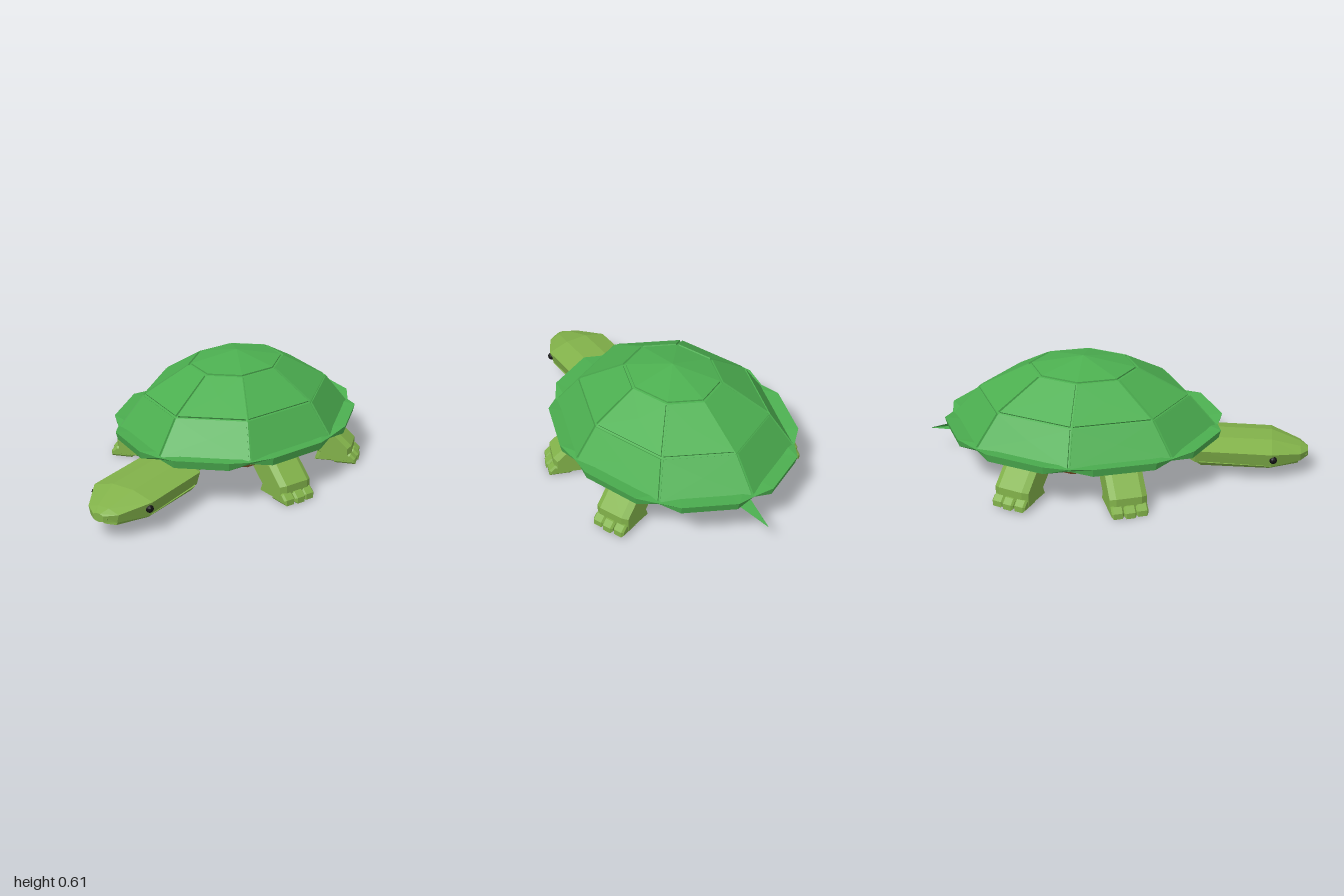
import * as THREE from 'three';

const CZ = -0.175, RX = 0.575, RZ = 0.7;
const V = (x, y, z) => new THREE.Vector3(x, y, z);
const mat = (color) => new THREE.MeshStandardMaterial({ color, flatShading: true });

// Skin over closed loops; loops run counter-clockwise seen from the direction of travel
function loft(rings, capStart = true, capEnd = true, out = []) {
  const n = rings[0].length;
  for (let r = 0; r < rings.length - 1; r++) {
    for (let i = 0; i < n; i++) {
      const j = (i + 1) % n, a = rings[r], b = rings[r + 1];
      out.push(a[i], a[j], b[j], a[i], b[j], b[i]);
    }
  }
  const cap = (ring, flip) => {
    const c = ring.reduce((s, p) => s.add(p), V(0, 0, 0)).divideScalar(n);
    ring.forEach((p, i) => {
      const q = ring[(i + 1) % n];
      out.push(...(flip ? [c, q, p] : [c, p, q]));
    });
  };
  if (capStart) cap(rings[0], true);
  if (capEnd) cap(rings[rings.length - 1], false);
  return out;
}

function solid(points) {
  const g = new THREE.BufferGeometry().setFromPoints(points);
  g.computeVertexNormals();
  return g;
}

// Point on the oval plan of the shell
const oval = (deg, r, y) => {
  const a = THREE.MathUtils.degToRad(deg);
  return V(Math.sin(a) * r * RX, y, CZ + Math.cos(a) * r * RZ);
};
const octagon = (r, y) => Array.from({ length: 8 }, (_, i) => oval(i * 45, r, y));

export function createModel() {
  const model = new THREE.Group();
  const shellMat = mat(0x4caf50), skinMat = mat(0x82b24a), bellyMat = mat(0x9a6530), eyeMat = mat(0x111111);
  const add = (name, geometry, material, parent = model) => {
    const m = new THREE.Mesh(geometry, material);
    m.name = name;
    parent.add(m);
    return m;
  };

  // Shell core: the floor of the grooves
  const sink = 0.008;
  const core = [[1, 0.24], [0.79, 0.41], [0.405, 0.55], [0.001, 0.605]];
  add('shellCore', solid(loft(core.map(([r, y]) => octagon(r * 0.99, y - sink)))), shellMat);

  // Raised shell plates separated by narrow grooves
  const plates = [], gap = 0.008;
  const rings = core.map(([r, y]) => octagon(r, y));
  const toward = (p, q) => q.clone().sub(p).setLength(gap);
  for (let r = 0; r < 2; r++) {
    for (let i = 0; i < 8; i++) {
      const j = (i + 1) % 8;
      const q = [rings[r][i], rings[r][j], rings[r + 1][j], rings[r + 1][i]];
      const normal = q[1].clone().sub(q[0]).cross(q[3].clone().sub(q[0])).normalize();
      const top = q.map((p, k) => p.clone().add(toward(p, q[(k + 1) % 4])).add(toward(p, q[(k + 3) % 4])));
      const base = top.map((p) => p.clone().addScaledVector(normal, -0.016));
      loft([base, top], false, true, plates);
    }
  }
  loft([octagon(0.385, 0.535), octagon(0.385, 0.552), octagon(0.001, 0.605)], false, true, plates);
  add('shellPlates', solid(plates), shellMat);

  // Scalloped rim: every eighth has a dip and two raised corners
  const rimRing = (rDip, yDip, rBump, yBump) => {
    const ring = [];
    for (let i = 0; i < 8; i++) {
      ring.push(oval(i * 45, rDip, yDip), oval(i * 45 + 9.75, rBump, yBump), oval(i * 45 + 35.25, rBump, yBump));
    }
    return ring;
  };
  add('shellRim', solid(loft([
    rimRing(0.88, 0.232, 0.88, 0.232), rimRing(0.985, 0.232, 1.03, 0.22),
    rimRing(1.005, 0.246, 1.046, 0.262), rimRing(0.9, 0.25, 0.9, 0.25),
  ], false, false)), shellMat);

  // Belly
  const belly = [[0.001, 0.06], [0.3, 0.076], [0.6, 0.122], [0.8, 0.16], [0.97, 0.236]];
  add('belly', solid(loft(belly.map(([r, y]) => octagon(r, y)))), bellyMat);

  // Head and neck: [z, half width, top, shoulder, lower side, bottom]
  const section = ([z, w, top, hi, lo, bottom]) => [
    V(w, hi, z), V(w * 0.35, top, z), V(-w * 0.35, top, z), V(-w, hi, z),
    V(-w * 0.88, lo, z), V(0, bottom, z), V(w * 0.88, lo, z),
  ];
  const head = new THREE.Group();
  head.name = 'head';
  model.add(head);
  add('neckAndSkull', solid(loft([
    [0.15, 0.09, 0.175, 0.16, 0.11, 0.1],
    [0.34, 0.1, 0.19, 0.17, 0.11, 0.095],
    [0.42, 0.175, 0.203, 0.172, 0.1, 0.06],
    [0.81, 0.175, 0.203, 0.17, 0.092, 0.075],
    [0.96, 0.09, 0.16, 0.142, 0.1, 0.095],
    [1, 0.03, 0.143, 0.135, 0.105, 0.1],
  ].map(section))), skinMat, head);
  add('lowerJaw', solid(loft([
    [0.35, 0.09, 0.13, 0.125, 0.105, 0.095],
    [0.45, 0.165, 0.11, 0.105, 0.08, 0.04],
    [0.8, 0.16, 0.1, 0.098, 0.08, 0.038],
    [0.95, 0.075, 0.1, 0.095, 0.08, 0.068],
  ].map(section))), skinMat, head);
  for (const s of [1, -1]) {
    const eye = add('eye', new THREE.SphereGeometry(0.02, 10, 8), eyeMat, head);
    eye.position.set(s * 0.162, 0.137, 0.818);
    const nostril = add('nostril', new THREE.BoxGeometry(0.02, 0.01, 0.012), skinMat, head);
    nostril.position.set(s * 0.036, 0.122, 0.985);
  }

  // Tail
  const tailRing = (z, y, w, h) => [V(w, y - h, z), V(-w, y - h, z), V(0, y + h, z)];
  add('tail', solid(loft([tailRing(-1, 0.145, 0.001, 0.001), tailRing(-0.8, 0.182, 0.04, 0.025)]
    .map((r) => r.reverse()).reverse())), shellMat);

  // Legs: chamfered bent profile with three toes
  const profile = new THREE.Shape([
    [-0.07, 0.13], [-0.04, 0.19], [0.1, 0.19], [0.2, 0.095], [0.2, 0], [0.005, 0], [0.02, 0.05],
  ].map(([x, y]) => new THREE.Vector2(x, y)).reverse());
  const legGeo = new THREE.ExtrudeGeometry(profile, {
    depth: 0.13, bevelEnabled: true, bevelSegments: 1, bevelSize: 0.018, bevelOffset: -0.018, bevelThickness: 0.03,
  }).translate(0, 0, -0.065);
  const toe = new THREE.Shape([
    [0.12, 0], [0.235, 0], [0.235, 0.03], [0.208, 0.055], [0.12, 0.06],
  ].map(([x, y]) => new THREE.Vector2(x, y)));
  const toeGeo = new THREE.ExtrudeGeometry(toe, {
    depth: 0.044, bevelEnabled: true, bevelSegments: 1, bevelSize: 0.01, bevelOffset: -0.01, bevelThickness: 0.009,
  }).translate(0, 0, -0.022);
  for (const side of [1, -1]) {
    for (const end of [1, -1]) {
      const leg = new THREE.Group();
      leg.name = (end > 0 ? 'front' : 'rear') + (side > 0 ? 'Left' : 'Right') + 'Leg';
      add('limb', legGeo, skinMat, leg);
      for (const k of [-1, 0, 1]) {
        add('toe', toeGeo, skinMat, leg).position.set(k ? -0.008 : 0, 0, k * 0.062);
      }
      leg.position.set(0.368, 0, 0.05);
      leg.rotation.y = -0.36;
      // Mirror across the body to place each leg
      const mirror = new THREE.Group();
      mirror.name = leg.name + 'Mount';
      mirror.scale.set(side, 1, end);
      mirror.position.set(0, end > 0 ? 0 : 0.01, end > 0 ? 0 : 2 * CZ);
      mirror.add(leg);
      model.add(mirror);
    }
  }
  return model;
}
